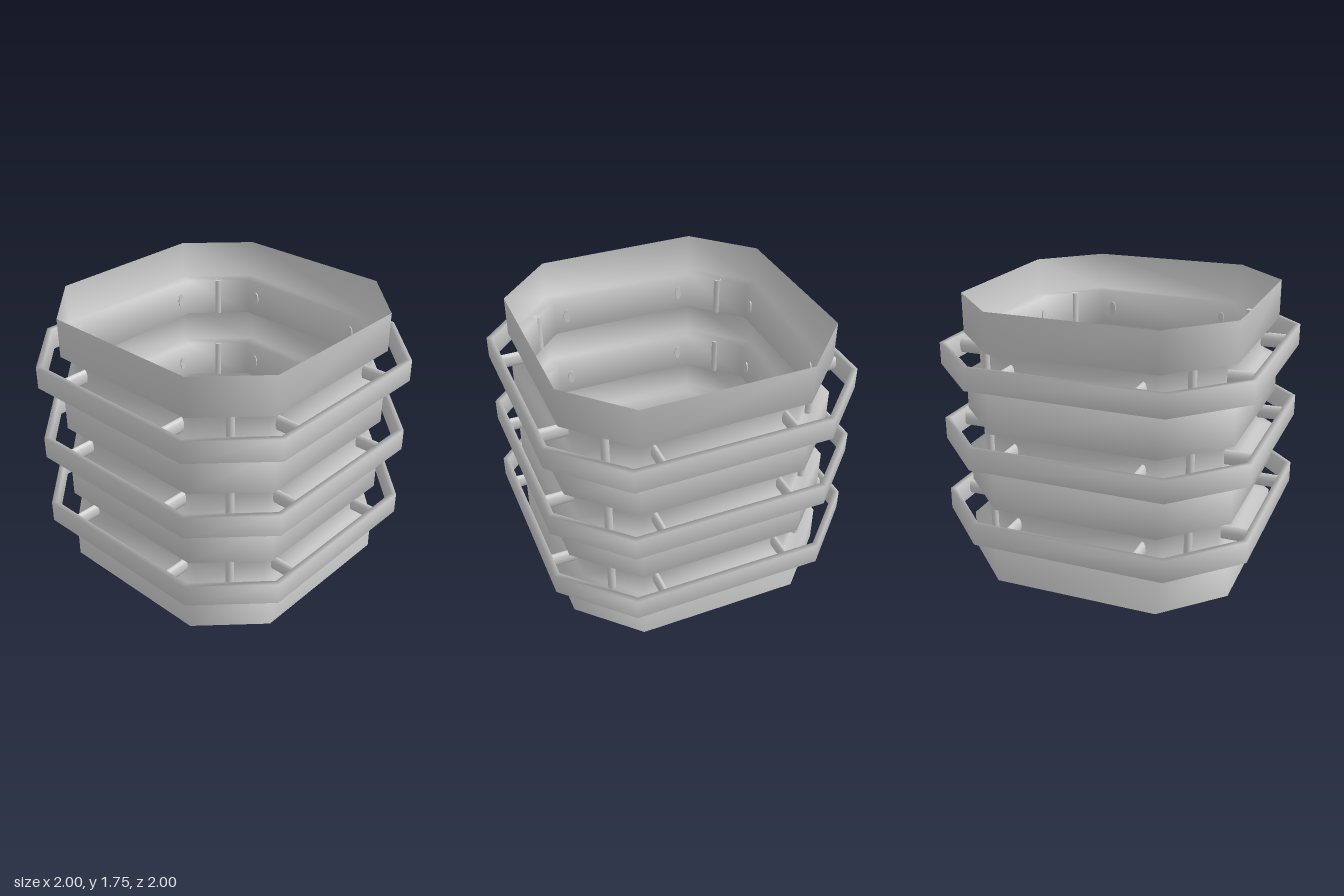
import * as THREE from 'three';

const material = new THREE.MeshStandardMaterial({ color: 0xcccccc, side: THREE.DoubleSide });

// Eight corners of a chamfered square, counterclockwise seen from above.
const corners = (r, c) => [[c, r], [r, c], [r, -c], [c, -r], [-c, -r], [-r, -c], [-r, c], [-c, r]];

// Sweeps a profile of [halfWidth, cornerOffset, y] round the octagon.
function octagonSweep(profile, closed) {
  const positions = [], index = [], rows = profile.length;
  for (const [r, c, y] of profile) {
    for (const [x, z] of corners(r, c)) positions.push(x, y, z);
  }
  for (let j = 0; j < (closed ? rows : rows - 1); j++) {
    for (let i = 0; i < 8; i++) {
      const k = (i + 1) % 8, up = (j + 1) % rows;
      const a = j * 8 + i, b = j * 8 + k, c = up * 8 + k, d = up * 8 + i;
      index.push(a, b, c, a, c, d);
    }
  }
  const geometry = new THREE.BufferGeometry();
  geometry.setAttribute('position', new THREE.Float32BufferAttribute(positions, 3));
  geometry.setIndex(index);
  geometry.computeVertexNormals();
  return geometry;
}

function addMesh(parent, name, geometry) {
  const mesh = new THREE.Mesh(geometry, material);
  mesh.name = name;
  parent.add(mesh);
  return mesh;
}

export function createModel() {
  const model = new THREE.Group();
  model.name = 'bandedOctagonalShell';

  // Thin open wall: four wide bands with three recessed bands between them
  const wall = [];
  for (let i = 0; i < 7; i++) {
    const [r, c] = i % 2 ? [0.79, 0.49] : [0.875, 0.525];
    wall.push([r, c, i * 0.25], [r, c, (i + 1) * 0.25]);
  }
  addMesh(model, 'corrugatedWall', octagonSweep(wall, false));

  // Flattened bracket, lying along z
  const bracketGeometry = new THREE.CylinderGeometry(0.022, 0.022, 0.2, 12);
  bracketGeometry.rotateX(Math.PI / 2).scale(1, 2.2, 1);
  const postGeometry = new THREE.CylinderGeometry(0.026, 0.026, 0.25, 12);

  for (let level = 0; level < 3; level++) {
    const tier = new THREE.Group();
    tier.name = 'railTier' + (level + 1);
    tier.position.y = 0.375 + level * 0.5;
    model.add(tier);

    // Outer rail hoop
    addMesh(tier, 'rail', octagonSweep([
      [1, 0.61, -0.07], [1, 0.61, 0.07], [0.965, 0.595, 0.07], [0.965, 0.595, -0.07],
    ], true));

    // Two brackets per side and one post per chamfered corner
    for (let side = 0; side < 4; side++) {
      const sideGroup = new THREE.Group();
      sideGroup.name = 'railSupports';
      sideGroup.rotation.y = side * Math.PI / 2;
      tier.add(sideGroup);
      for (const x of [-0.41, 0.41]) {
        addMesh(sideGroup, 'bracket', bracketGeometry).position.set(x, 0, 0.882);
      }
      addMesh(sideGroup, 'cornerPost', postGeometry).position.set(0.65, 0, 0.65);
    }
  }
  return model;
}
